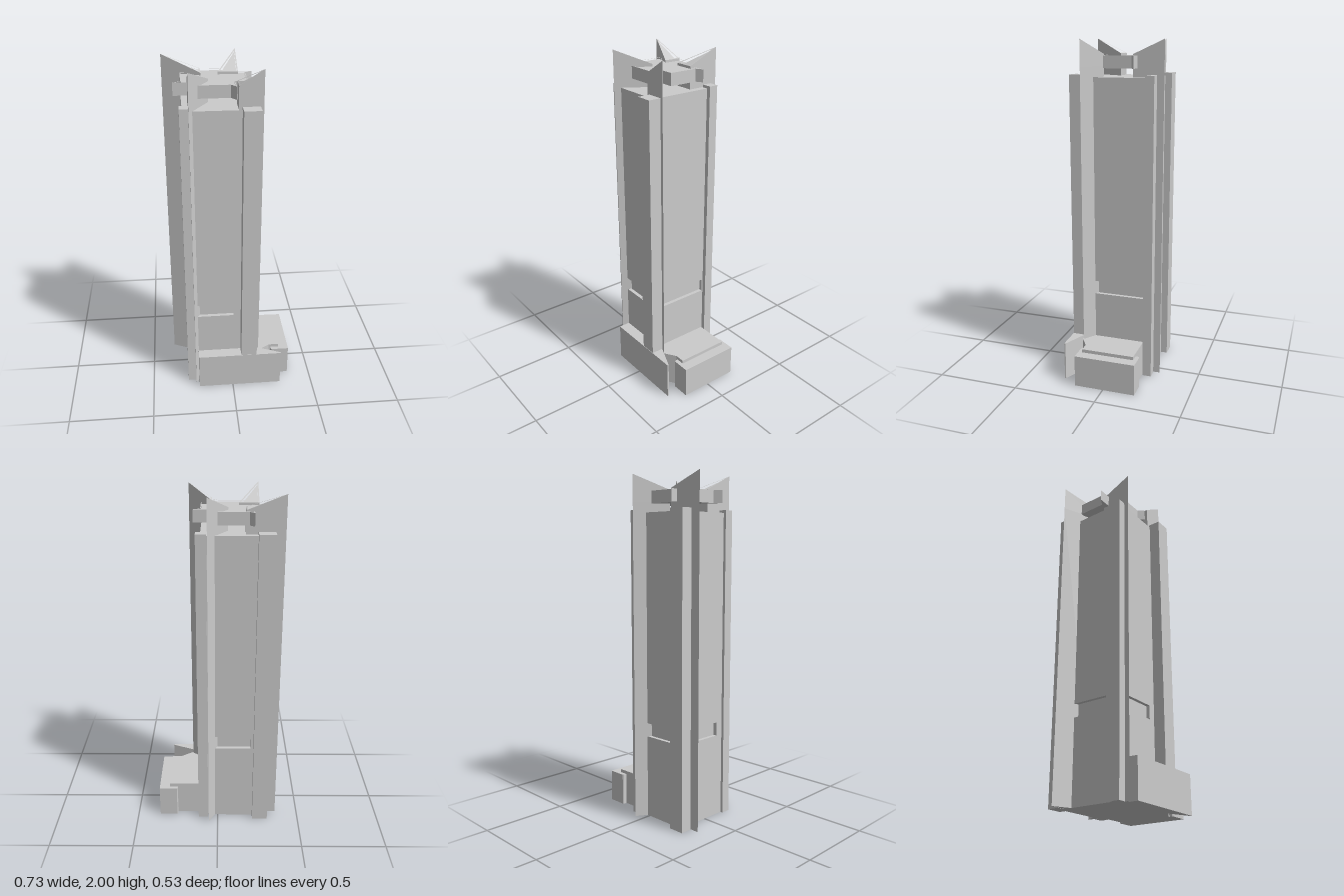
import * as THREE from 'three';

const material = new THREE.MeshStandardMaterial({ color: 0xcccccc, flatShading: true });

// Offsets a plan outline inwards by d, keeping its corners sharp
function inset(pts, d) {
  const area = pts.reduce((s, [x, z], i) => {
    const [nx, nz] = pts[(i + 1) % pts.length];
    return s + x * nz - nx * z;
  }, 0);
  const k = Math.sign(area) * d;
  return pts.map((p, i) => {
    const a = pts[(i + pts.length - 1) % pts.length];
    const b = pts[(i + 1) % pts.length];
    const u = new THREE.Vector2(p[0] - a[0], p[1] - a[1]).normalize();
    const v = new THREE.Vector2(b[0] - p[0], b[1] - p[1]).normalize();
    const s = k / (1 + u.dot(v));
    return [p[0] - (u.y + v.y) * s, p[1] + (u.x + v.x) * s];
  });
}

// Upright prism over a plan outline [x, z]; top is a height or a rule (x, z) => height
function prism(name, pts, bottom, top, hole) {
  const toPlan = (list) => list.map(([x, z]) => new THREE.Vector2(x, -z));
  const shape = new THREE.Shape(toPlan(pts));
  if (hole) shape.holes.push(new THREE.Path(toPlan(hole)));
  const geo = new THREE.ExtrudeGeometry(shape, { depth: 1, bevelEnabled: false });
  geo.rotateX(-Math.PI / 2);
  const pos = geo.attributes.position;
  const height = typeof top === 'function' ? top : () => top;
  for (let i = 0; i < pos.count; i++) {
    pos.setY(i, pos.getY(i) > 0.5 ? height(pos.getX(i), pos.getZ(i)) : bottom);
  }
  geo.computeVertexNormals();
  const mesh = new THREE.Mesh(geo, material);
  mesh.name = name;
  return mesh;
}

const rect = (x0, x1, z0, z1) => [[x0, z0], [x1, z0], [x1, z1], [x0, z1]];

// Triangular fin whose top rises from its short side to its tip, with a sunken top face
function fin(tip, corner, side) {
  const group = new THREE.Group();
  group.name = 'cornerFin';
  const outline = [tip, corner, side];
  const inner = inset(outline, 0.007);
  const dx = tip[0] - corner[0], dz = tip[1] - corner[1];
  const along = (x, z) => ((x - corner[0]) * dx + (z - corner[1]) * dz) / (dx * dx + dz * dz);
  const slope = (x, z) => 1.917 + 0.083 * along(x, z);
  const floor = (x, z) => slope(x, z) - 0.015 * (1 - along(x, z)) - 0.003;
  group.add(
    prism('finShaft', outline, 0, 1.85),
    prism('finRim', outline, 1.85, slope, inner),
    prism('finTop', inner, 1.85, floor),
  );
  return group;
}

export function createModel() {
  const model = new THREE.Group();

  // Tower core, with a window band recessed between corner posts
  const plan = rect(-0.262, 0.094, -0.2, 0.195);
  model.add(
    prism('lowerTower', plan, 0, 0.49),
    prism('upperTower', plan, 0.57, 1.79),
    prism('recessedBand', inset(plan, 0.022), 0.49, 0.57),
  );
  const posts = [
    [0.01, 0.094, 0.14, 0.195], [-0.262, -0.23, 0.1, 0.195],
    [-0.262, -0.2, -0.2, -0.15], [0.045, 0.094, -0.2, -0.165],
  ];
  for (const p of posts) model.add(prism('bandPost', rect(...p), 0.49, 0.57));

  // Square piers at the four corners
  const piers = [
    [0.053, 0.148, 0.19, 0.263], [-0.278, -0.225, 0.145, 0.2],
    [-0.309, -0.216, -0.24, -0.17], [0.06, 0.119, -0.225, -0.172],
  ];
  for (const p of piers) model.add(prism('cornerPier', rect(...p), 0, 1.805));

  // Four fins turning around the tower
  model.add(
    fin([-0.363, -0.166], [-0.15, -0.166], [-0.15, -0.07]),
    fin([0.055, -0.265], [0.055, -0.083], [-0.056, -0.083]),
    fin([-0.229, 0.228], [-0.229, 0.044], [-0.117, 0.044]),
    fin([0.166, 0.19], [0.034, 0.19], [0.034, 0.095]),
  );

  // Raised pinwheel roof slab with a low parapet
  const roof = [
    [-0.195, -0.208], [-0.168, -0.174], [0.05, -0.174], [0.05, -0.11],
    [0.133, -0.11], [0.094, -0.088], [0.094, 0.078], [0.024, 0.078],
    [0.024, 0.178], [-0.004, 0.142], [-0.222, 0.142], [-0.222, 0.08],
    [-0.306, 0.08], [-0.263, 0.054], [-0.263, -0.11], [-0.195, -0.11],
  ];
  const roofInner = inset(roof, 0.005);
  model.add(
    prism('roofParapet', roof, 1.84, 1.91, roofInner),
    prism('roofSlab', roofInner, 1.84, 1.903),
  );

  // Low buildings at the foot
  model.add(
    prism('frontWing', [[-0.21, 0.19], [0.145, 0.19], [0.3, 0.257], [0.3, 0.265], [-0.21, 0.265]], 0, 0.23),
    prism('sideBlock', [[0.08, -0.168], [0.3, -0.168], [0.3, 0.15], [0.24, 0.15], [0.165, 0.199], [0.08, 0.199]], 0, 0.21),
    prism('endBlock', [[0.25, -0.188], [0.255, -0.193], [0.362, -0.193], [0.362, 0.174], [0.255, 0.174], [0.25, 0.168]], 0, 0.19),
  );
  return model;
}
